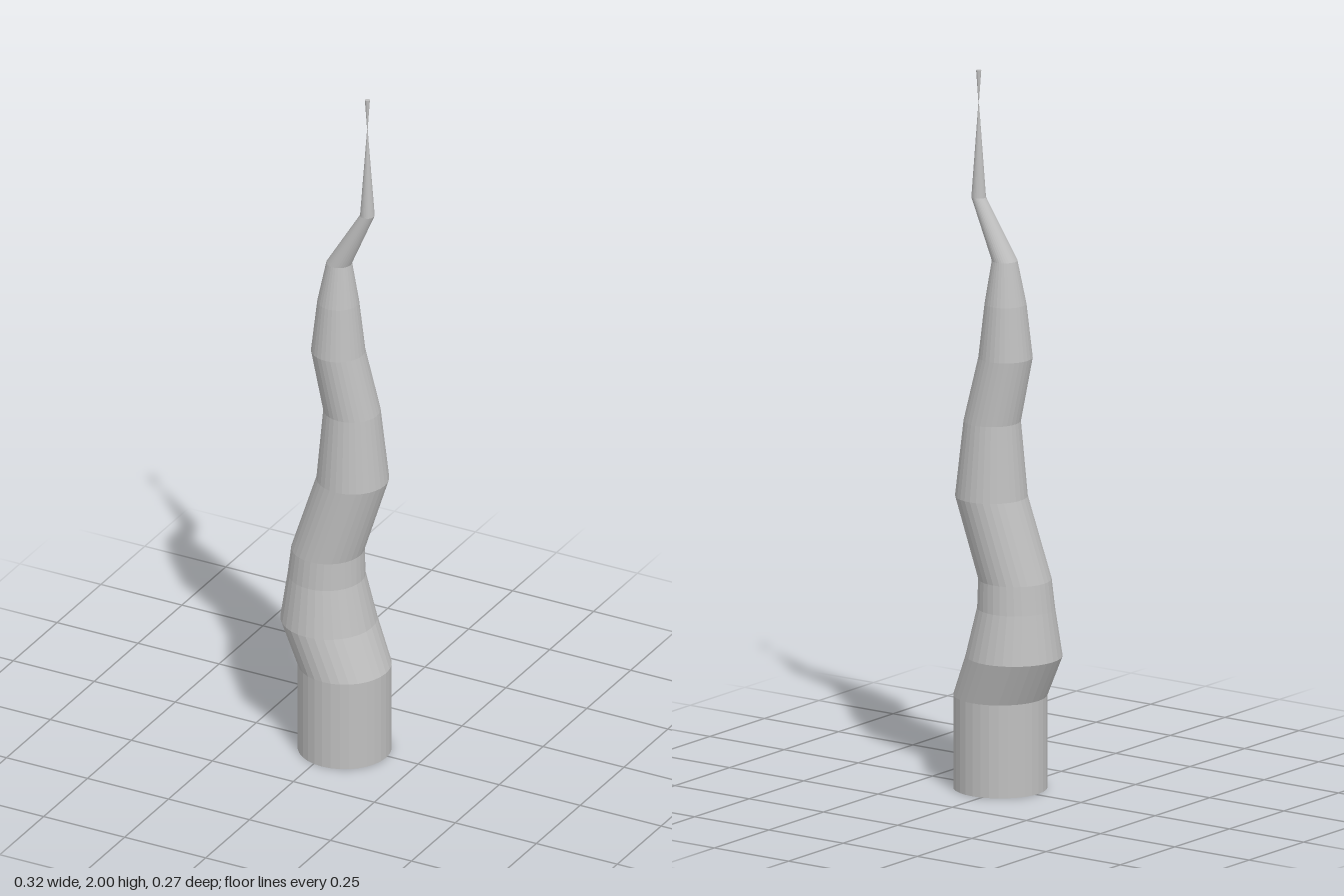
import * as THREE from 'three';

// Cross-sections from the base up: height, centre x, centre z, radius
const RINGS = [
  [0, 0.028, 0.009, 0.128],
  [0.26, 0.028, 0.009, 0.128],
  [0.38, -0.028, -0.004, 0.132],
  [0.515, -0.034, -0.003, 0.106],
  [0.595, -0.03, -0.003, 0.1],
  [0.82, 0.039, -0.017, 0.099],
  [1.03, 0.037, -0.016, 0.078],
  [1.21, 0.001, -0.004, 0.074],
  [1.36, 0.001, -0.004, 0.057],
  [1.48, 0.004, -0.004, 0.035],
  [1.645, 0.09, -0.006, 0.02],
  [1.91, 0.09, -0.006, 0.0008],
  [2, 0.09, -0.006, 0.007],
];
const SIDES = 32;

// Skin a chain of horizontal circles and close both ends
function loft(rings) {
  const pos = [], index = [];
  for (const [y, cx, cz, r] of rings) {
    for (let i = 0; i < SIDES; i++) {
      const a = (i / SIDES) * Math.PI * 2;
      pos.push(cx + r * Math.sin(a), y, cz + r * Math.cos(a));
    }
  }
  for (let k = 0; k < rings.length - 1; k++) {
    for (let i = 0; i < SIDES; i++) {
      const j = (i + 1) % SIDES;
      const a = k * SIDES + i, b = k * SIDES + j;
      index.push(a, b, b + SIDES, a, b + SIDES, a + SIDES);
    }
  }
  const top = (rings.length - 1) * SIDES;
  for (let i = 1; i < SIDES - 1; i++) {
    index.push(0, i + 1, i);
    index.push(top, top + i, top + i + 1);
  }
  const geo = new THREE.BufferGeometry();
  geo.setAttribute('position', new THREE.Float32BufferAttribute(pos, 3));
  geo.setIndex(index);
  const flat = geo.toNonIndexed(); // separate faces for a faceted look
  flat.computeVertexNormals();
  return flat;
}

export function createModel() {
  const group = new THREE.Group();
  group.name = 'crookedSpire';
  const grey = new THREE.MeshStandardMaterial({ color: 0xbfbfbf, flatShading: true });
  grey.name = 'stone grey';

  // Twisting stem tapering to a thin, slightly flared tip
  const stem = new THREE.Mesh(loft(RINGS), grey);
  stem.name = 'stem';
  group.add(stem);
  return group;
}
